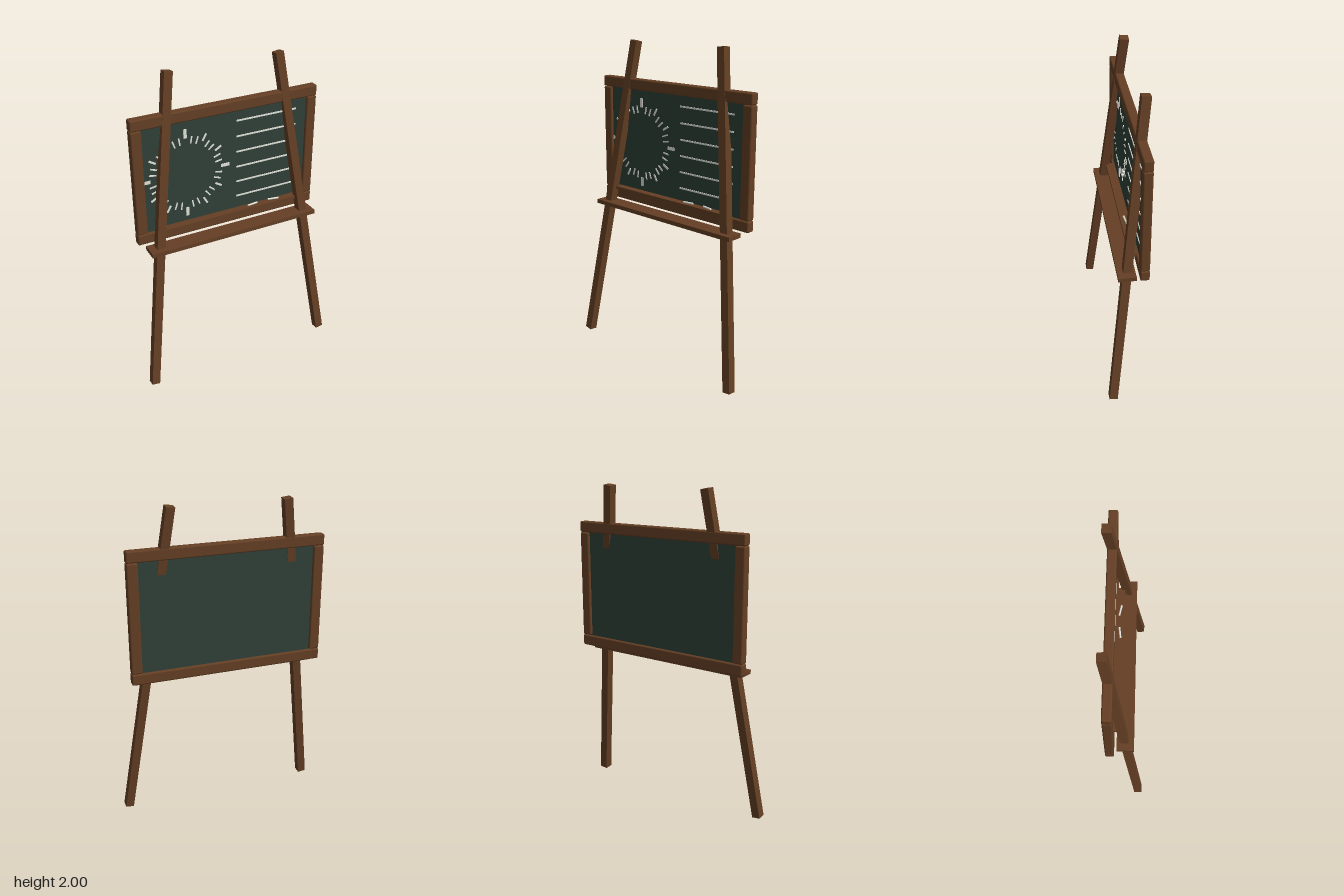
import * as THREE from 'three';
import { RoundedBoxGeometry } from 'three/addons/geometries/RoundedBoxGeometry.js';

export function createModel() {
  const group = new THREE.Group();
  const material = (name, color) => {
    const m = new THREE.MeshStandardMaterial({ color });
    m.name = name;
    return m;
  };
  const wood = material('brown wood', 0x643f24);
  const slate = material('green slate', 0x2f4038);
  const chalk = material('white chalk', 0xe2e4da);

  const add = (name, geometry, mat, x, y, z, parent = group) => {
    const mesh = new THREE.Mesh(geometry, mat);
    mesh.name = name;
    mesh.position.set(x, y, z);
    parent.add(mesh);
    return mesh;
  };
  const box = (w, h, d) => new THREE.BoxGeometry(w, h, d);
  const bar = (w, h, d) => new RoundedBoxGeometry(w, h, d, 2, 0.009);

  // Two square legs, leaning inward and backward
  const dir = new THREE.Vector3(0.275, 1.988, 0.212);
  const length = dir.length();
  for (const side of [-1, 1]) {
    const leg = add(side > 0 ? 'leftLeg' : 'rightLeg', box(0.052, length, 0.052), wood, side * 0.4875, 1, 0);
    leg.rotation.set(-Math.atan2(dir.z, dir.y), 0, side * Math.asin(dir.x / length));
  }

  // Writing panel and its rounded frame
  const boardZ = -0.081;
  add('panel', box(1.1, 0.69, 0.02), slate, 0, 1.36, boardZ);
  add('topRail', bar(1.21, 0.068, 0.054), wood, 0, 1.729, boardZ);
  add('bottomRail', bar(1.21, 0.068, 0.054), wood, 0, 0.993, boardZ);
  for (const side of [-1, 1]) {
    add(side > 0 ? 'leftStile' : 'rightStile', bar(0.065, 0.665, 0.054), wood, side * 0.572, 1.361, boardZ);
  }

  // Chalk ledge on the frame, and the tray across the legs
  add('ledge', box(0.94, 0.02, 0.05), wood, 0, 1.04, -0.035);
  add('tray', box(1.13, 0.026, 0.106), wood, 0, 0.942, 0.012);

  // Chalk sticks
  for (const [x, yaw] of [[0.16, 0.12], [0.31, -0.2]]) {
    const stick = add('chalkStick', new THREE.CylinderGeometry(0.006, 0.006, 0.07, 10), chalk, x, 1.056, -0.038);
    stick.rotation.set(0, yaw, Math.PI / 2);
  }

  // Ring of chalk ticks: long quarters, medium twelfths, short between
  const markZ = -0.069;
  const dial = new THREE.Group();
  dial.name = 'tickRing';
  dial.position.set(-0.272, 1.36, markZ);
  group.add(dial);
  for (let i = 0; i < 36; i++) {
    const [inner, outer, width] =
      i % 9 === 0 ? [0.228, 0.285, 0.02] : i % 3 === 0 ? [0.218, 0.266, 0.012] : [0.192, 0.238, 0.009];
    const a = (i * Math.PI) / 18;
    const r = (inner + outer) / 2;
    const tick = add('tick', box(width, outer - inner, 0.004), chalk, Math.sin(a) * r, Math.cos(a) * r, 0, dial);
    tick.rotation.z = -a;
  }

  // Ruled chalk lines
  for (let i = 0; i < 6; i++) {
    add('ruledLine', box(0.41, 0.01, 0.004), chalk, 0.265, 1.63 - i * 0.101, markZ);
  }

  return group;
}
